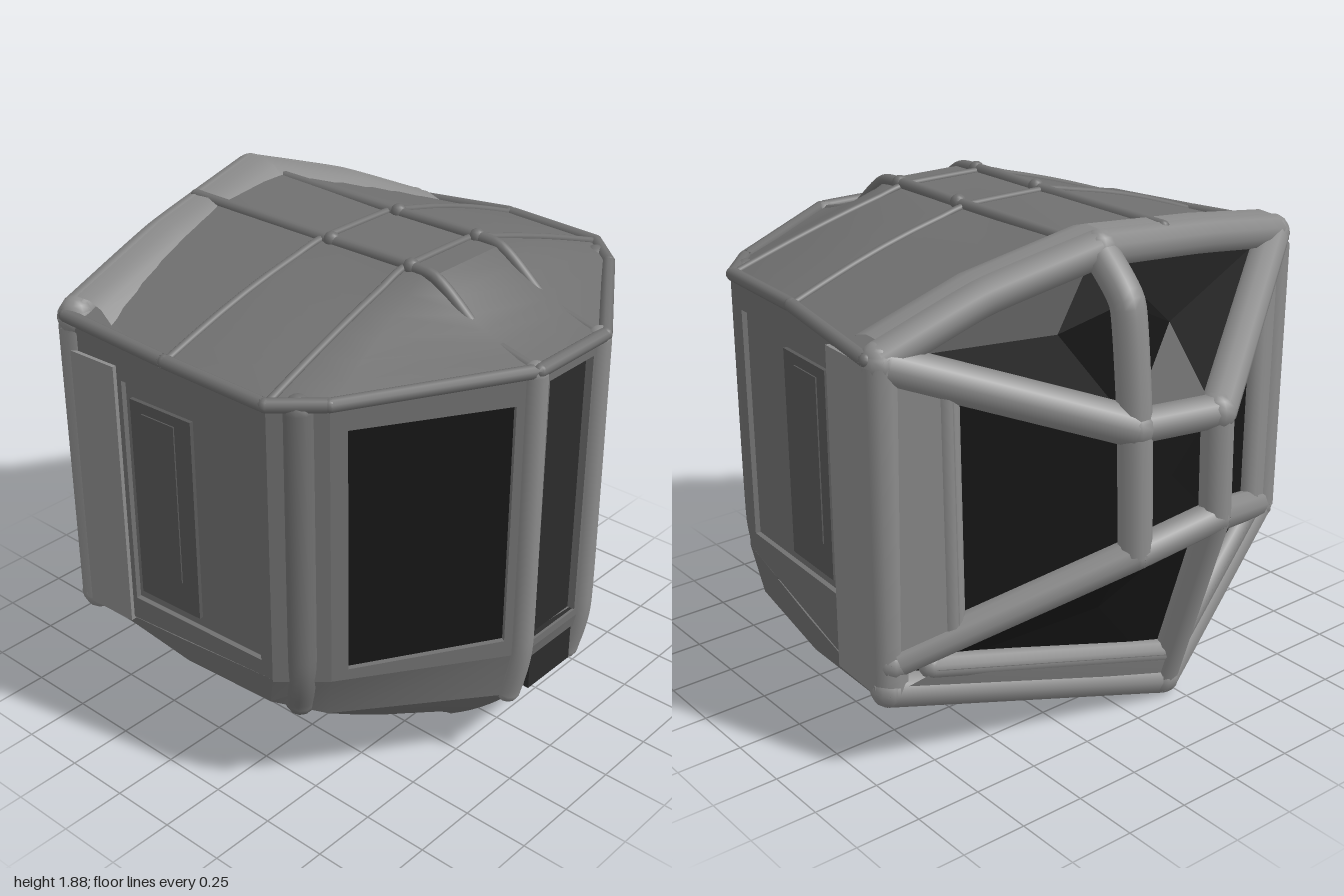
import * as THREE from 'three';
import { toCreasedNormals } from 'three/addons/utils/BufferGeometryUtils.js';

const paint = (color) => new THREE.MeshStandardMaterial({ color, side: THREE.DoubleSide });
const HULL = paint(0x707070), FRAME = paint(0x8c8c8c), GLASS = paint(0x161616);
const DARK = paint(0x2c2c2c), PANEL = paint(0x585858);
const V = (x, y, z) => new THREE.Vector3(x, y, z);

function add(parent, name, geometry, material) {
  const mesh = new THREE.Mesh(geometry, material);
  mesh.name = name;
  parent.add(mesh);
  return mesh;
}

// Surface through rows of points
function grid(rows) {
  const pos = [];
  for (let r = 0; r + 1 < rows.length; r++) {
    for (let i = 0; i + 1 < rows[r].length; i++) {
      const [a, b, c, d] = [rows[r][i], rows[r][i + 1], rows[r + 1][i + 1], rows[r + 1][i]];
      for (const p of [a, b, c, a, c, d]) pos.push(p.x, p.y, p.z);
    }
  }
  const g = new THREE.BufferGeometry();
  g.setAttribute('position', new THREE.Float32BufferAttribute(pos, 3));
  return toCreasedNormals(g, 0.6);
}

// Pane fanned around its centre
function fan(points) {
  const mid = points.reduce((s, p) => s.add(p), V(0, 0, 0)).divideScalar(points.length);
  const g = new THREE.BufferGeometry();
  g.setFromPoints(points.flatMap((p, i) => [p, mid, points[(i + 1) % points.length]]));
  g.computeVertexNormals();
  return g;
}

// Rounded bar along points with ball ends
function bar(parent, name, points, radius, material = FRAME) {
  const group = new THREE.Group();
  group.name = name;
  const curve = new THREE.CatmullRomCurve3(points, false, 'catmullrom', 0.25);
  add(group, name + 'Tube', new THREE.TubeGeometry(curve, 12 * points.length, radius, 10), material);
  for (const p of [points[0], points[points.length - 1]]) {
    add(group, name + 'End', new THREE.SphereGeometry(radius, 10, 8), material).position.copy(p);
  }
  parent.add(group);
}

// Upright wall between outline points a and b with a recessed opening [u0, u1, v0, v1]
function wall(parent, name, a, b, [u0, u1, v0, v1], depth, paneMaterial) {
  const group = new THREE.Group();
  group.name = name;
  const len = Math.hypot(b[0] - a[0], b[1] - a[1]);
  const vec = (p) => new THREE.Vector2(...p);
  const shape = new THREE.Shape([[0, a[2]], [len, b[2]], [len, b[3]], [0, a[3]]].map(vec));
  shape.holes.push(new THREE.Path([[u0, v0], [u0, v1], [u1, v1], [u1, v0]].map(vec)));
  const g = new THREE.ExtrudeGeometry(shape, { depth, bevelEnabled: false });
  add(group, name + 'Shell', g, HULL).position.z = -depth;
  const pane = add(group, name + 'Pane', new THREE.BoxGeometry(u1 - u0 + 0.02, v1 - v0 + 0.02, 0.02), paneMaterial);
  pane.position.set((u0 + u1) / 2, (v0 + v1) / 2, -depth);
  group.position.set(a[0], 0, a[1]);
  group.rotation.y = Math.atan2(a[1] - b[1], b[0] - a[0]);
  parent.add(group);
  return group;
}

export function createModel() {
  const model = new THREE.Group();
  model.name = 'pod';

  // Wall outline, right round the front: [x, z, bottom y, top y, skirt y]
  const outline = [
    [0.95, -0.45, 0.31, 1.54, 0.3], [0.93, 0.02, 0.42, 1.6, 0.27], [0.905, 0.45, 0.53, 1.6, 0.34],
    [0.77, 0.6, 0.53, 1.6, 0.33], [0.2, 0.97, 0.5, 1.62, 0.3],
    [-0.17, 0.97, 0.5, 1.62, 0.3], [-0.77, 0.6, 0.53, 1.6, 0.36],
    [-0.905, 0.45, 0.54, 1.6, 0.41], [-0.93, 0.02, 0.52, 1.62, 0.41], [-0.95, -0.45, 0.5, 1.65, 0.48],
  ];
  const eave = outline.map(([x, z, , t]) => V(x, t, z));
  const sill = outline.map(([x, z, b]) => V(x, b, z));
  const skirt = outline.map(([x, z, , , k]) => V(0.97 * x, k, z > 0.1 ? z - 0.04 : z));
  const ridge = [V(0.17, 1.84, -0.7), V(0.18, 1.82, 0.02), V(0.18, 1.82, 0.4), V(0.18, 1.82, 0.48), V(0.17, 1.82, 0.52),
    V(-0.17, 1.82, 0.52), V(-0.18, 1.82, 0.48), V(-0.18, 1.82, 0.4), V(-0.18, 1.82, 0.02), V(-0.17, 1.82, -0.63)];
  const keel = [V(-0.12, 0.03, -0.68), V(0.1, 0.05, 0.02), V(0.17, 0.06, 0.5), V(0.17, 0.06, 0.6), V(0.16, 0.06, 0.65),
    V(-0.16, 0.06, 0.65), V(-0.17, 0.06, 0.6), V(-0.17, 0.06, 0.5), V(-0.17, 0.05, 0.02), V(-0.25, 0.03, -0.68)];

  // Roof and floor skins, bowed point by point
  const skin = (from, to, bow) => {
    const rows = [];
    for (let k = 0; k <= 6; k++) {
      const t = k / 6;
      rows.push(from.map((p, i) => p.clone().lerp(to[i], t).add(V(0, bow(i) * Math.sin(Math.PI * t), 0))));
    }
    return rows;
  };
  const strip = (ring) => grid([ring.slice(0, 5), ring.slice(5).reverse()]);
  const roofRows = skin(eave, ridge, (i) => [0.01, 0.02, 0.01, 0, -0.03][Math.min(i, 9 - i)]);
  add(model, 'roof', grid(roofRows), HULL);
  add(model, 'roofRidge', strip(ridge), HULL);
  add(model, 'skirt', grid([sill, skirt]), HULL);
  add(model, 'floor', grid(skin(skirt, keel, () => -0.015)), HULL);
  add(model, 'floorKeel', strip(keel), HULL);

  // Front walls with windows, and the narrow centre panel
  wall(model, 'frontWallRight', outline[6], outline[5], [0.06, 0.63, 0.57, 1.5], 0.03, GLASS);
  wall(model, 'frontWallLeft', outline[4], outline[3], [0.05, 0.62, 0.57, 1.5], 0.03, GLASS);
  wall(model, 'centrePanel', outline[5], outline[4], [0.06, 0.31, 0.53, 1.56], 0.04, DARK);
  add(model, 'centrePanelFoot', new THREE.BoxGeometry(0.25, 0.22, 0.02), DARK).position.set(0.015, 0.42, 0.95);

  for (const s of [1, -1]) {
    // Side wall with nested panels
    const len = 0.901;
    const u = (v) => (s > 0 ? v : len - v);
    const hole = [Math.min(u(0.05), u(0.65)), Math.max(u(0.05), u(0.65)), 0.6, 1.48];
    const side = s > 0
      ? wall(model, 'sideWallLeft', outline[2], outline[0], hole, 0.03, HULL)
      : wall(model, 'sideWallRight', outline[9], outline[7], hole, 0.03, HULL);
    add(side, 'doorPanel', new THREE.BoxGeometry(0.28, 0.78, 0.02), PANEL).position.set(u(0.48), 1.03, -0.015);
    add(side, 'doorInset', new THREE.BoxGeometry(0.15, 0.62, 0.02), PANEL).position.set(u(0.49), 1.07, -0.01);
    // Broad back column
    const foot = s > 0 ? 0.33 : 0.5;
    add(side, 'backColumn', new THREE.BoxGeometry(0.24, 1.53 - foot, 0.03), FRAME)
      .position.set(u(0.79), (1.53 + foot) / 2, 0);

    // Chamfered front corner and its column
    const corner = [outline[s > 0 ? 3 : 7], outline[s > 0 ? 2 : 6]];
    add(model, 'cornerWall', grid([0.53, 1.6].map((y) => corner.map(([x, z]) => V(x, y, z)))), HULL);
    bar(model, 'cornerColumn', [V(s * 0.82, 1.57, 0.51), V(s * 0.82, 0.6, 0.51), V(s * 0.79, 0.4, 0.47)], 0.055, HULL);

    // Front column carried over the roof as a rib
    const x = s > 0 ? 0.195 : -0.165;
    bar(model, 'frontColumn', [V(x, 1.6, 0.95), V(x, 0.55, 0.955), V(x, 0.31, 0.91)], 0.045, FRAME);
    bar(model, 'roofRib', [V(x, 1.61, 0.95), V(x, 1.67, 0.72), V(x, 1.82, 0.51),
      V(x, 1.82, 0.02), V(x, 1.82, -0.62)], 0.022, HULL);
    for (const z of [0.06, 0.42]) {
      add(model, 'roofKnob', new THREE.SphereGeometry(0.03, 10, 8), HULL).position.set(x, 1.825, z);
    }
  }

  // Cross ribs on the roof and the eave rail
  for (const i of [1, 2]) {
    const path = [...roofRows.map((r) => r[i]), ...roofRows.map((r) => r[9 - i]).reverse()];
    bar(model, 'crossRib', path, 0.014, HULL);
  }
  for (let i = 0; i < 9; i++) bar(model, 'eaveRail', [eave[i], eave[i + 1]], 0.025, HULL);

  // Corners of the rear frame, then the hubs that stand out behind
  const P = {
    rightTop: V(-0.9, 1.63, -0.45), rightLow: V(-0.9, 0.51, -0.45), bottom: V(-0.2, 0.07, -0.66),
    leftLow: V(0.9, 0.33, -0.45), leftMid: V(0.9, 0.44, -0.47), leftTop: V(0.9, 1.52, -0.45),
    top: V(0.17, 1.81, -0.67), brow: V(0.175, 1.66, -0.82), hubA: V(0.175, 1.25, -0.87), hubB: V(0.175, 0.79, -0.89),
    hubC: V(-0.16, 1.24, -0.92), hubD: V(-0.17, 0.84, -0.92),
  };
  const struts = {
    0.07: ['rightTop rightLow', 'rightLow bottom', 'bottom leftLow', 'leftLow leftTop', 'rightTop hubC', 'leftTop hubA'],
    0.06: ['top brow hubA hubB', 'hubC hubD', 'hubA hubC', 'hubB hubD', 'rightLow hubD', 'leftMid hubB', 'bottom hubD'],
  };
  for (const [radius, list] of Object.entries(struts)) {
    for (const s of list) bar(model, 'rearStrut', s.split(' ').map((k) => P[k]), Number(radius));
  }

  // Broad plates along the outer edges of the rear frame, each reaching towards the hubs
  const plates = [
    ['rightTop', 'hubC', 'rightLow', 'hubD', 0.25], ['leftTop', 'hubA', 'leftMid', 'hubB', 0.25],
    ['rightLow', 'hubD', 'bottom', 'hubD', 0.17], ['bottom', 'hubD', 'leftLow', 'hubB', 0.17],
  ];
  for (const [a, ha, b, hb, t] of plates) {
    const inner = [P[a].clone().lerp(P[ha], t), P[b].clone().lerp(P[hb], t)];
    const rows = [[P[a], P[b]], inner].map((row) => row.map((p) => p.clone().add(V(0, 0, -0.045))));
    add(model, 'rearPlate', grid(rows), FRAME);
    bar(model, 'rearPlateEdge', inner, 0.045);
  }

  // Broad arched band along the rear edge of the roof
  const arches = [
    [V(0.9, 1.53, -0.45), V(0.55, 1.69, -0.54), V(0.17, 1.815, -0.67)],
    [V(-0.9, 1.64, -0.45), V(-0.4, 1.735, -0.57), V(0.17, 1.815, -0.67)],
  ];
  for (const arch of arches) {
    bar(model, 'rearArch', arch, 0.065);
    const rows = [[0, 0.064], [0.07, 0.068], [0.13, 0.05], [0.2, -0.01]]
      .map(([dz, dy]) => arch.map((p) => p.clone().add(V(0, dy, dz))));
    add(model, 'rearArchBand', grid(rows), FRAME);
  }

  // Dark panes set just inside the rear frame
  const panes = [
    'rightTop top brow hubA hubC', 'leftTop top brow hubA', 'leftTop hubA hubB leftMid',
    'hubA hubC hubD hubB', 'hubC rightTop rightLow hubD', 'rightLow bottom hubD', 'bottom leftLow hubB hubD',
  ];
  for (const s of panes) {
    add(model, 'rearPane', fan(s.split(' ').map((k) => P[k].clone().add(V(0, 0, 0.02)))), GLASS);
  }
  return model;
}
